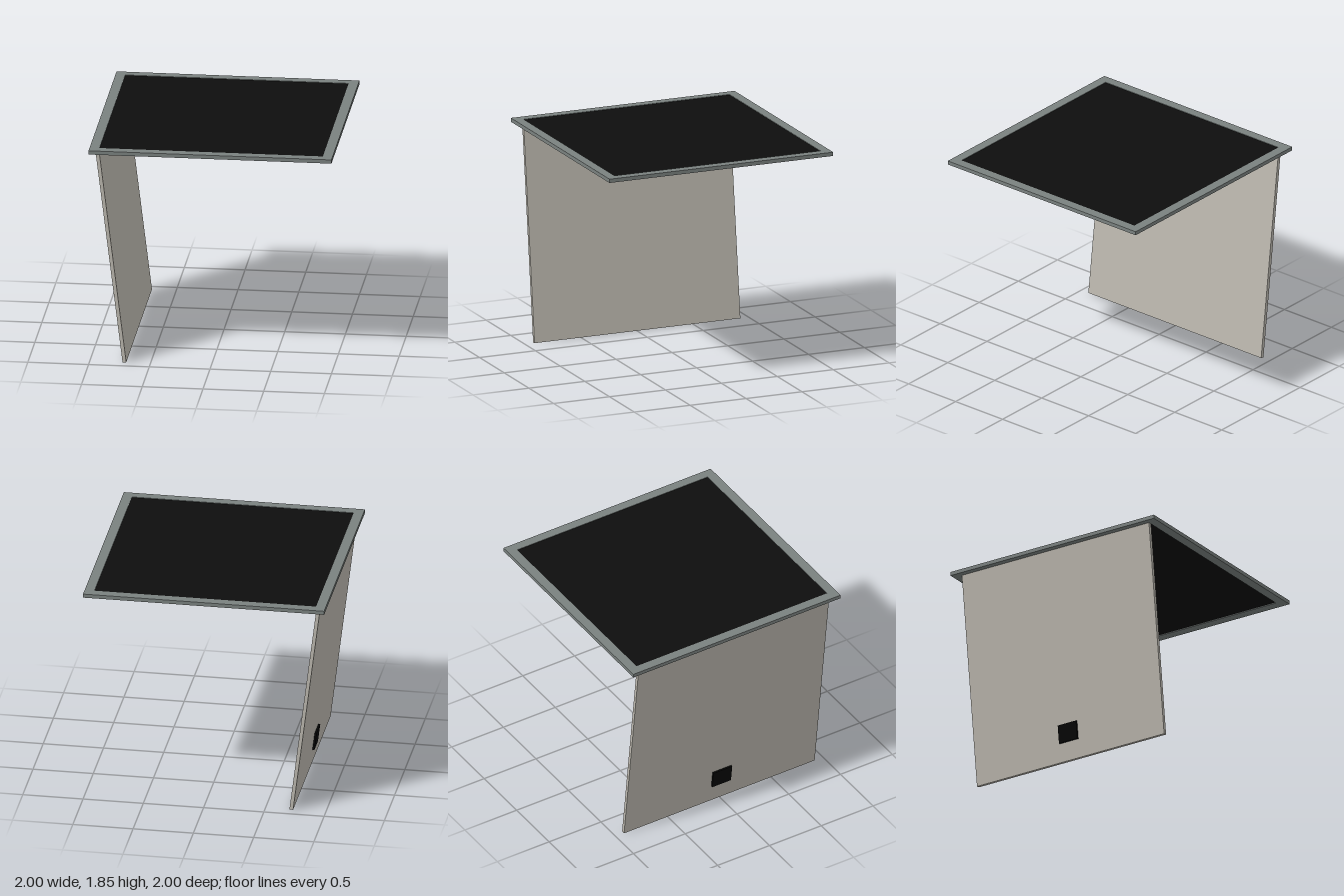
import * as THREE from 'three';

const material = (name, color) => {
  const m = new THREE.MeshStandardMaterial({ color });
  m.name = name;
  return m;
};

export function createModel() {
  const model = new THREE.Group();
  model.name = 'cantileverPanel';
  const frameGrey = material('frame grey', 0x7a817f);
  const warmGrey = material('warm grey', 0xbcb8af);
  const black = material('black', 0x0d0d0d);
  const deepBlack = material('deep black', 0x060606);

  const add = (parent, name, geometry, mat, x, y, z) => {
    const mesh = new THREE.Mesh(geometry, mat);
    mesh.name = name;
    mesh.position.set(x, y, z);
    parent.add(mesh);
    return mesh;
  };

  // Square top frame with a square opening
  const square = (Type, h) => new Type([[-h, -h], [h, -h], [h, h], [-h, h]].map(([x, y]) => new THREE.Vector2(x, y)));
  const outline = square(THREE.Shape, 1);
  outline.holes.push(square(THREE.Path, 0.92));
  const frame = new THREE.ExtrudeGeometry(outline, { depth: 0.032, bevelEnabled: false });
  frame.rotateX(-Math.PI / 2);
  add(model, 'topFrame', frame, frameGrey, 0, 1.818, 0);

  // Dark sheet set into the frame
  add(model, 'topSheet', new THREE.BoxGeometry(1.84, 0.02, 1.84), black, 0, 1.836, 0);

  // Leaning support panel with its small outer box
  const support = new THREE.Group();
  support.name = 'support';
  support.position.set(-0.826, 0.915, 0);
  support.rotation.z = THREE.MathUtils.degToRad(7);
  model.add(support);
  add(support, 'supportPanel', new THREE.BoxGeometry(0.03, 1.84, 1.84), warmGrey, 0, 0, 0);
  add(support, 'controlBox', new THREE.BoxGeometry(0.016, 0.155, 0.18), deepBlack, -0.023, -0.68, 0);

  return model;
}
